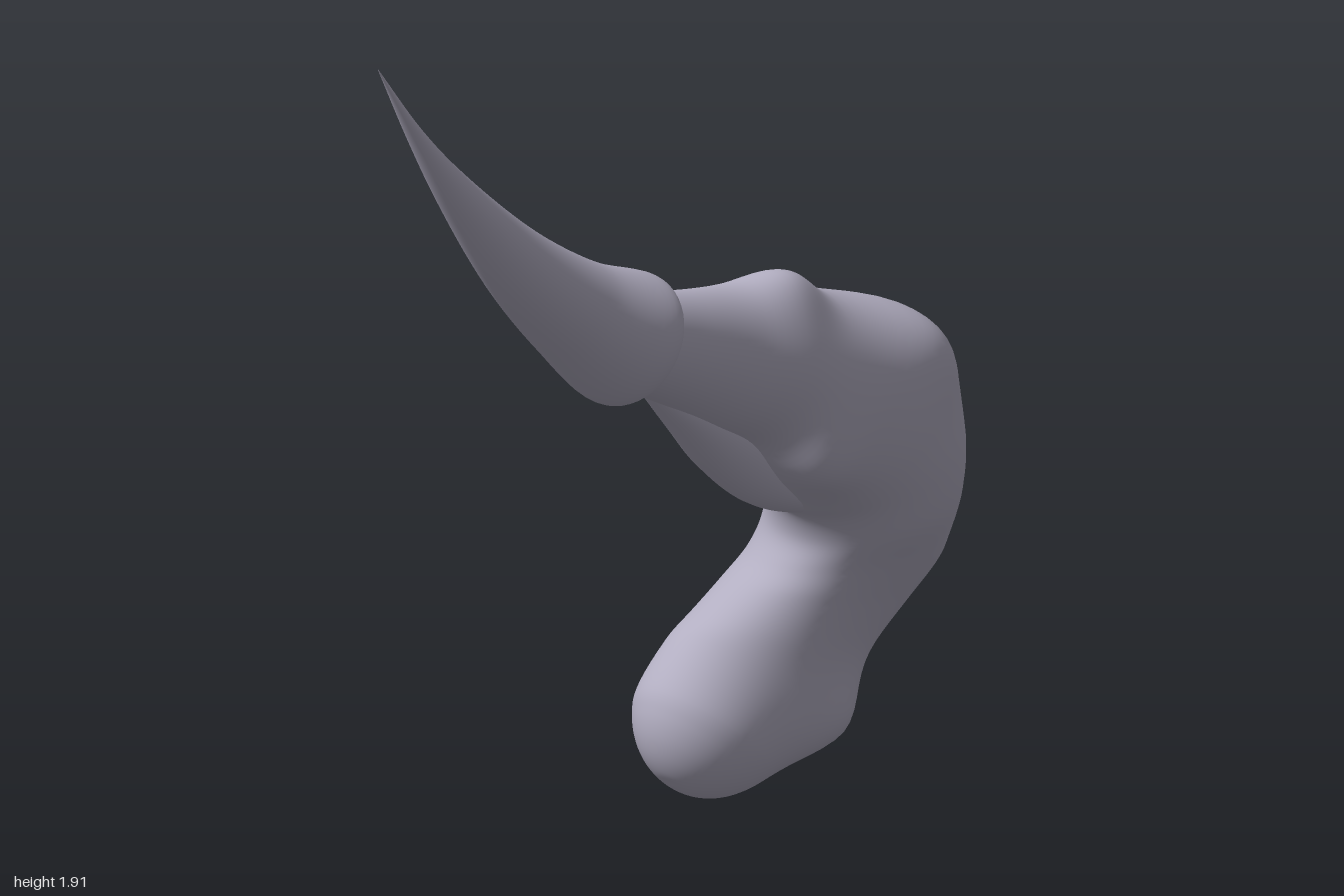
import * as THREE from 'three';

// Each section is [outerX, outerY, innerX, innerY, zMin, zMax]; elliptical rings are lofted through them.
// Each lump is [centre, push, size] and softly swells or dents the surface around it.
function loft(sections, rows, ring, lumps = []) {
  const outer = new THREE.CatmullRomCurve3(sections.map(s => new THREE.Vector3(s[0], s[1], s[4])));
  const inner = new THREE.CatmullRomCurve3(sections.map(s => new THREE.Vector3(s[2], s[3], s[5])));
  const pos = [], index = [];
  for (let r = 0; r <= rows; r++) {
    const o = outer.getPoint(r / rows), i = inner.getPoint(r / rows);
    for (let k = 0; k < ring; k++) {
      const a = k / ring * Math.PI * 2, c = Math.cos(a) / 2, s = Math.sin(a) / 2;
      const p = new THREE.Vector3(
        (o.x + i.x) / 2 + (o.x - i.x) * c,
        (o.y + i.y) / 2 + (o.y - i.y) * c,
        (o.z + i.z) / 2 + (i.z - o.z) * s);
      const q = p.clone();
      for (const [centre, push, size] of lumps) {
        const d2 = p.distanceToSquared(new THREE.Vector3(...centre));
        q.addScaledVector(new THREE.Vector3(...push), Math.exp(-d2 / (size * size)));
      }
      pos.push(q.x, q.y, q.z);
      if (r < rows) {
        const n = (k + 1) % ring, b = r * ring;
        index.push(b + k, b + n, b + ring + k, b + n, b + ring + n, b + ring + k);
      }
    }
  }
  const g = new THREE.BufferGeometry();
  g.setAttribute('position', new THREE.Float32BufferAttribute(pos, 3));
  g.setIndex(index);
  g.computeVertexNormals();
  return g;
}

export function createModel() {
  const group = new THREE.Group();
  const skin = new THREE.MeshStandardMaterial({ color: 0xb2aec1, side: THREE.DoubleSide });
  skin.name = 'lilac grey';
  const add = (name, geometry) => {
    const mesh = new THREE.Mesh(geometry, skin);
    mesh.name = name;
    group.add(mesh);
  };

  // Curled tail, from the thin neck round the bend to the rounded foot
  const tail = [
    [-0.25, 1.40, -0.32, 1.20, 0.04, 0.22],
    [-0.10, 1.385, -0.15, 1.13, 0.02, 0.23],
    [0.06, 1.375, 0.00, 1.06, -0.01, 0.25],
    [0.19, 1.37, 0.13, 1.00, -0.04, 0.285],
    [0.34, 1.335, 0.21, 0.925, -0.075, 0.31],
    [0.62, 1.265, 0.28, 0.86, -0.125, 0.325],
    [0.77, 1.15, 0.36, 0.79, -0.16, 0.335],
    [0.88, 0.99, 0.41, 0.75, -0.18, 0.33],
    [0.945, 0.80, 0.44, 0.68, -0.21, 0.30],
    [1.00, 0.60, 0.42, 0.61, -0.25, 0.225],
    [0.93, 0.45, 0.37, 0.55, -0.285, 0.155],
    [0.79, 0.29, 0.31, 0.49, -0.315, 0.095],
    [0.62, 0.13, 0.25, 0.44, -0.335, 0.05],
  ];
  for (let k = 1; k <= 6; k++) {
    const t = k / 6 * Math.PI / 2, h = Math.SQRT1_2 * 0.217;
    const x = 0.335 - h * Math.sin(t), y = 0.219 - h * Math.sin(t);
    const w = h * Math.cos(t) + 0.0005, z = 0.19 * Math.cos(t) + 0.0005;
    tail.push([x + w, y - w, x - w, y + w, -0.152 - z, -0.152 + z]);
  }
  add('tail', loft(tail, 120, 64, [
    [[0.19, 1.36, 0.18], [0, 0.035, 0.02], 0.10],      // knuckle on top
    [[0.66, 1.20, 0.24], [0, 0.01, 0.065], 0.17],      // front shoulder
    [[0.65, 1.22, -0.05], [0, 0, 0.04], 0.20],         // sloping back of the shoulder
    [[0.27, 0.93, 0.26], [-0.03, -0.03, 0.03], 0.12],  // swelling inside the bend
    [[0.95, 0.74, 0.20], [-0.01, 0, -0.03], 0.14],     // hollow by the elbow
    [[0.57, 0.17, 0.00], [0.01, -0.02, 0.09], 0.15],   // knob beside the foot
  ]));

  // Slim tendon bridging the underside of the neck and the bend
  add('tendon', loft([
    [-0.21, 1.20, -0.21, 1.17, 0.08, 0.12],
    [-0.05, 1.13, -0.09, 1.055, 0.04, 0.14],
    [0.11, 1.06, 0.03, 0.945, 0.01, 0.14],
    [0.28, 0.97, 0.19, 0.835, 0.00, 0.14],
    [0.40, 0.87, 0.36, 0.775, 0.00, 0.13],
    [0.50, 0.82, 0.50, 0.76, 0.03, 0.10],
  ], 36, 24));

  // Curved stinger, from the point to the rim and round the lip onto the neck
  add('stinger', loft([
    [-0.9995, 1.915, -1.00, 1.914, 0.1495, 0.1505],
    [-0.90, 1.80, -0.92, 1.775, 0.128, 0.167],
    [-0.80, 1.712, -0.83, 1.635, 0.105, 0.185],
    [-0.60, 1.575, -0.69, 1.455, 0.063, 0.217],
    [-0.41, 1.487, -0.53, 1.30, 0.019, 0.25],
    [-0.235, 1.44, -0.36, 1.17, -0.022, 0.282],
    [-0.225, 1.42, -0.325, 1.183, 0.005, 0.255],
    [-0.23, 1.385, -0.29, 1.205, 0.05, 0.21],
  ], 70, 48));

  return group;
}
